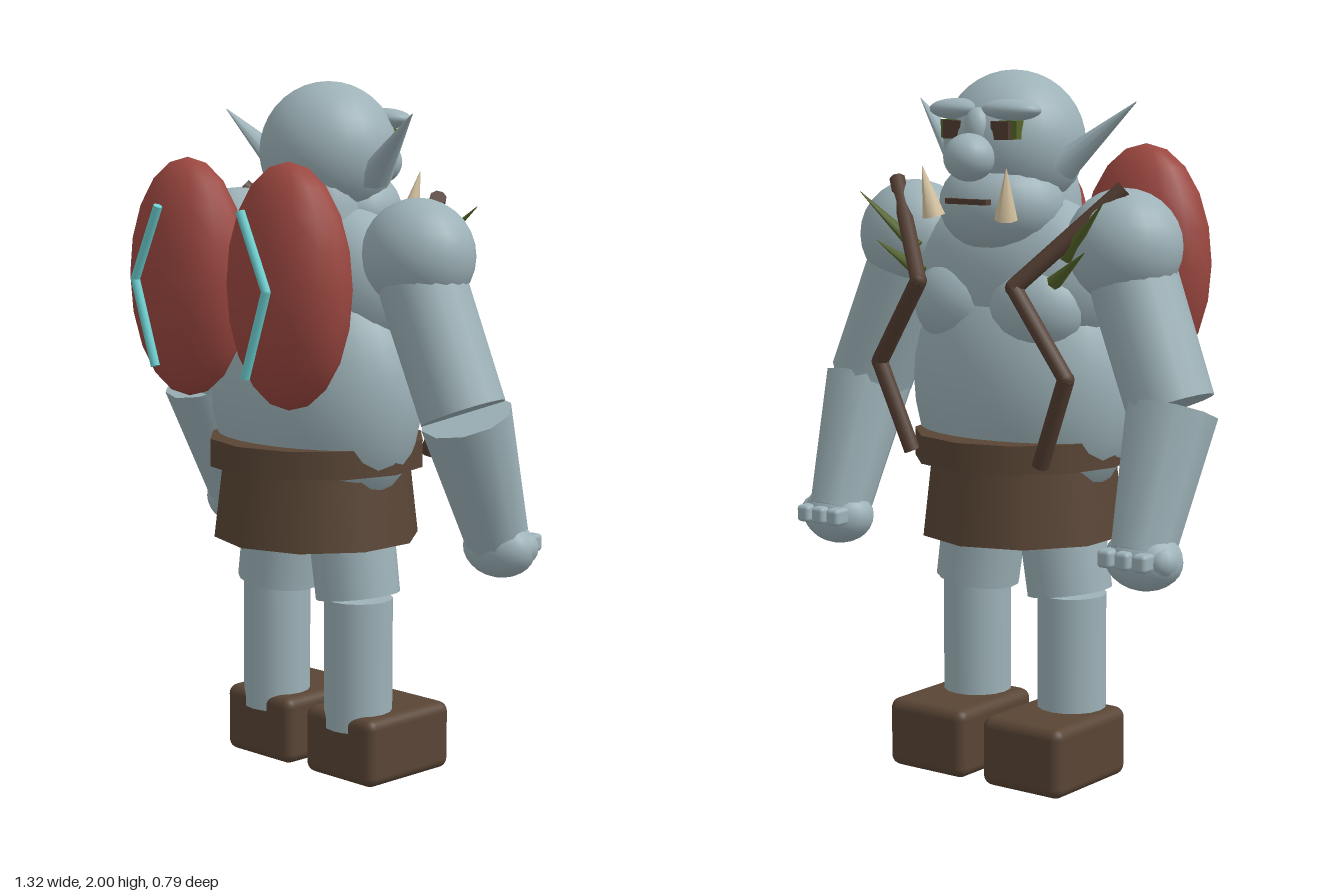
import * as THREE from 'three';
import { RoundedBoxGeometry } from 'three/addons/geometries/RoundedBoxGeometry.js';

function material(name, color) {
  const m = new THREE.MeshStandardMaterial({ color });
  m.name = name;
  return m;
}

export function createModel() {
  const skin = material('blue grey skin', 0x9db2b8);
  const red = material('red shell', 0x9c4740);
  const brown = material('brown leather', 0x594535);
  const wood = material('dark wood', 0x523d31);
  const cyan = material('cyan mark', 0x6ccfd0);
  const olive = material('olive green', 0x55652a);
  const ivory = material('ivory', 0xd8c5a2);

  const model = new THREE.Group();
  model.name = 'ogre';
  const UP = new THREE.Vector3(0, 1, 0);

  function add(name, geometry, mat, p = [0, 0, 0]) {
    const mesh = new THREE.Mesh(geometry, mat);
    mesh.name = name;
    mesh.position.set(...p);
    model.add(mesh);
    return mesh;
  }

  // Ellipsoid with centre p and radii r
  function ball(name, p, r, mat = skin, w = 20, h = 14) {
    return add(name, new THREE.SphereGeometry(1, w, h).scale(...r), mat, p);
  }

  // Tapered cylinder from a (radius ra) to b (radius rb)
  function limb(name, a, b, ra, rb, mat = skin, sides = 16) {
    const va = new THREE.Vector3(...a), vb = new THREE.Vector3(...b);
    const d = vb.clone().sub(va);
    const mesh = add(name, new THREE.CylinderGeometry(rb, ra, d.length(), sides), mat);
    mesh.position.copy(va).add(vb).multiplyScalar(0.5);
    mesh.quaternion.setFromUnitVectors(UP, d.normalize());
    return mesh;
  }

  // Round bars through a list of points
  function bars(name, points, r, mat, sides) {
    for (let i = 0; i < points.length - 1; i++) {
      limb(name, points[i], points[i + 1], r, r, mat, sides);
      if (i > 0) ball(name + 'Joint', points[i], [r, r, r], mat, sides, 6);
    }
  }

  // Torso
  ball('belly', [0, 1.12, -0.07], [0.355, 0.4, 0.25], skin, 28, 18);
  ball('chest', [0, 1.42, -0.1], [0.35, 0.25, 0.18], skin, 24, 16);
  ball('neck', [0, 1.6, -0.05], [0.16, 0.24, 0.13]);

  // Head
  ball('head', [0, 1.8, -0.12], [0.205, 0.2, 0.19], skin, 24, 18);
  ball('jaw', [0, 1.63, -0.18], [0.185, 0.14, 0.155]);
  ball('nose', [0, 1.765, -0.325], [0.072, 0.066, 0.07]);
  ball('noseBridge', [0, 1.84, -0.285], [0.04, 0.06, 0.04]);
  add('mouth', new THREE.BoxGeometry(0.14, 0.015, 0.04), wood, [0, 1.645, -0.325]);

  // Clothing
  add('belt', new THREE.CylinderGeometry(0.315, 0.315, 0.08, 12), brown, [0, 0.945, -0.075]);
  add('skirt', new THREE.CylinderGeometry(0.275, 0.3, 0.215, 10), brown, [0, 0.8, -0.075]);

  for (const s of [1, -1]) {
    const at = (x, y, z) => [s * x, y, z];
    const side = s > 0 ? 'left' : 'right';

    // Face
    ball(side + 'Brow', at(0.09, 1.893, -0.255), [0.095, 0.03, 0.055]);
    add(side + 'Eye', new THREE.BoxGeometry(0.085, 0.05, 0.04), olive, at(0.088, 1.84, -0.265));
    add(side + 'EyeRim', new THREE.BoxGeometry(0.06, 0.05, 0.03), wood, at(0.082, 1.838, -0.283));
    limb(side + 'Tusk', at(0.125, 1.6, -0.325), at(0.145, 1.74, -0.35), 0.032, 0.001, ivory, 6);
    const ear = limb(side + 'Ear', at(0.17, 1.735, -0.13), at(0.375, 1.915, -0.07), 0.065, 0.002, skin, 10);
    ear.scale.set(0.65, 1, 0.9);

    // Chest muscles and arms
    ball(side + 'Pectoral', at(0.13, 1.35, -0.19), [0.15, 0.13, 0.115]);
    ball(side + 'Shoulder', at(0.365, 1.525, -0.11), [0.168, 0.16, 0.15]);
    limb(side + 'UpperArm', at(0.365, 1.5, -0.1), at(0.528, 1.1, -0.12), 0.125, 0.122);
    limb(side + 'Forearm', at(0.535, 1.09, -0.125), at(0.535, 0.72, -0.265), 0.13, 0.09, skin, 10);
    ball(side + 'Hand', at(0.54, 0.705, -0.265), [0.115, 0.085, 0.085]);
    ball(side + 'Thumb', at(0.615, 0.71, -0.28), [0.04, 0.045, 0.05], skin, 12, 8);
    for (let i = 0; i < 3; i++) {
      add(side + 'Finger', new RoundedBoxGeometry(0.045, 0.05, 0.06, 2, 0.012), skin,
        at(0.478 + i * 0.056, 0.715, -0.34));
    }

    // Legs and shoes
    limb(side + 'Thigh', at(0.125, 0.8, -0.08), at(0.165, 0.535, -0.08), 0.125, 0.122);
    limb(side + 'Shin', at(0.17, 0.53, -0.077), at(0.17, 0.15, -0.077), 0.099, 0.099);
    add(side + 'Shoe', new RoundedBoxGeometry(0.273, 0.2, 0.34, 3, 0.03), brown, at(0.168, 0.1, -0.16));

    // Back shells with angled marks
    ball(side + 'Shell', at(0.205, 1.45, 0.235), [0.208, 0.34, 0.135], red, 14, 10);
    bars(side + 'ShellMark', [at(0.168, 1.66, 0.38), at(0.268, 1.45, 0.38), at(0.185, 1.21, 0.38)],
      0.013, cyan, 8);

    // Bent wooden bars over the chest
    bars(side + 'ChestBar', [at(0.395, 1.685, -0.155), at(0.165, 1.42, -0.345),
      at(0.325, 1.18, -0.325), at(0.225, 0.93, -0.305)], 0.024, wood, 8);

    // Shoulder thorns
    limb(side + 'UpperThorn', at(0.26, 1.5, -0.235), at(0.42, 1.655, -0.29), 0.022, 0.001, olive, 6);
    limb(side + 'LowerThorn', at(0.23, 1.43, -0.25), at(0.36, 1.52, -0.29), 0.022, 0.001, olive, 6);
  }

  return model;
}
